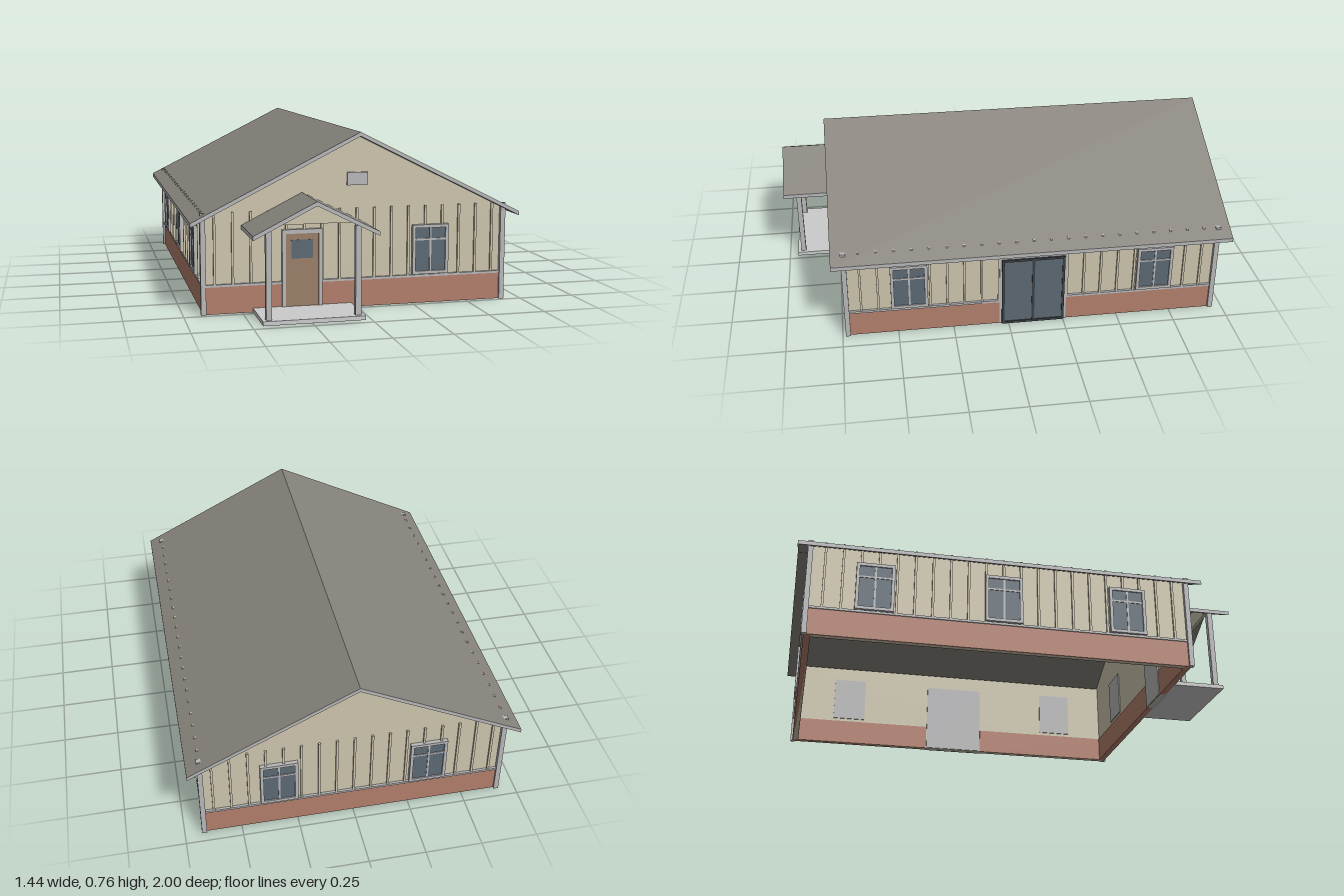
import * as THREE from 'three';

const mat = (color) => new THREE.MeshStandardMaterial({ color, flatShading: true, side: THREE.DoubleSide });

export function createModel() {
  const house = new THREE.Group();
  house.name = 'house';
  const cream = mat(0xcdc5ae), brick = mat(0xb37f6c), trim = mat(0xb8b8ba), roofing = mat(0x88847d);
  const glass = mat(0x5c6973), wood = mat(0x9a8068), dark = mat(0x3c4044), concrete = mat(0xc0c0be);

  // Box given by its minimum and maximum on each axis
  function box(parent, name, material, x0, x1, y0, y1, z0, z1) {
    const m = new THREE.Mesh(new THREE.BoxGeometry(x1 - x0, y1 - y0, z1 - z0), material);
    m.position.set((x0 + x1) / 2, (y0 + y1) / 2, (z0 + z1) / 2);
    m.name = name;
    parent.add(m);
    return m;
  }

  // Outline extruded along z from z0 to z1
  function extrude(parent, name, material, points, z0, z1, hole) {
    const shape = new THREE.Shape(points.map(([x, y]) => new THREE.Vector2(x, y)));
    if (hole) shape.holes.push(new THREE.Path(hole.map(([x, y]) => new THREE.Vector2(x, y))));
    const m = new THREE.Mesh(new THREE.ExtrudeGeometry(shape, { depth: z1 - z0, bevelEnabled: false }), material);
    m.position.z = z0;
    m.name = name;
    parent.add(m);
    return m;
  }

  const rect = (x0, x1, y0, y1) => [[x0, y0], [x1, y0], [x1, y1], [x0, y1]];

  // Rectangular surround with an opening of border width b
  const surround = (parent, name, material, x0, x1, y0, y1, b, z0, z1) =>
    extrude(parent, name, material, rect(x0, x1, y0, y1), z0, z1, rect(x0 + b, x1 - b, y0 + b, y1 - b));

  // Four-pane window on a wall whose outer face is local z = 0
  function addWindow(wall, x) {
    const g = new THREE.Group();
    g.name = 'window';
    g.position.x = x;
    wall.add(g);
    surround(g, 'windowFrame', trim, -0.082, 0.082, 0.13, 0.348, 0.014, -0.01, 0.018);
    box(g, 'windowBacking', trim, -0.08, 0.08, 0.132, 0.346, -0.025, 0.008);
    box(g, 'windowGlass', glass, -0.07, 0.07, 0.142, 0.336, 0, 0.012);
    box(g, 'verticalBar', trim, -0.004, 0.004, 0.142, 0.336, 0.01, 0.015);
    box(g, 'horizontalBar', trim, -0.07, 0.07, 0.279, 0.287, 0.01, 0.015);
  }

  // Wall with brick base, ledge and battens; gap is the doorway [x0, x1]
  function addWall(name, half, x, z, angle, gable, gap) {
    const wall = new THREE.Group();
    wall.name = name;
    wall.position.set(x, 0, z);
    wall.rotation.y = angle;
    house.add(wall);
    const outline = [[-half, 0], [half, 0], [half, 0.413], [-half, 0.413]];
    if (gable) outline.splice(3, 0, [0, 0.743]);
    extrude(wall, 'siding', cream, outline, -0.02, 0);
    const runs = gap ? [[-half, gap[0]], [gap[1], half]] : [[-half, half]];
    for (const [a, b] of runs) {
      box(wall, 'brickBase', brick, a, b, 0, 0.117, -0.023, 0.006);
      box(wall, 'baseLedge', trim, a, b, 0.117, 0.127, -0.001, 0.011);
    }
    const count = Math.floor((half - 0.03) / 0.077);
    for (let i = -count; i <= count; i++) {
      const bx = i * 0.077;
      const low = gap && bx > gap[0] && bx < gap[1] ? 0.345 : 0.122;
      box(wall, 'batten', cream, bx - 0.005, bx + 0.005, low, 0.432, -0.001, 0.0095);
    }
    return wall;
  }

  const front = addWall('frontWall', 0.66, 0, 0.72, 0, true, [-0.33, -0.155]);
  const back = addWall('backWall', 0.66, 0, -0.94, Math.PI, true);
  const left = addWall('leftWall', 0.83, 0.66, -0.11, Math.PI / 2, false, [-0.145, 0.145]);
  const right = addWall('rightWall', 0.83, -0.66, -0.11, -Math.PI / 2, false);
  addWindow(front, 0.33);
  for (const s of [-1, 1]) {
    addWindow(back, s * 0.33);
    addWindow(left, s * 0.555);
    addWindow(right, s * 0.555);
  }
  addWindow(right, 0);

  // Corner posts
  for (const x of [-0.665, 0.665]) {
    for (const z of [-0.945, 0.725]) {
      box(house, 'cornerPost', trim, x - 0.011, x + 0.011, 0, 0.432, z - 0.011, z + 0.011);
    }
  }

  // Front door with a small glazed panel
  extrude(front, 'doorFrame', trim, rect(-0.33, -0.155, 0, 0.35), -0.01, 0.018, rect(-0.314, -0.171, 0.005, 0.332));
  box(front, 'doorBacking', trim, -0.33, -0.155, 0.002, 0.348, -0.026, 0.008);
  box(front, 'doorPanel', wood, -0.314, -0.171, 0.01, 0.332, 0, 0.013);
  box(front, 'doorGlass', glass, -0.29, -0.195, 0.225, 0.305, 0.005, 0.0145);

  // Gable vent
  box(front, 'gableVent', trim, -0.045, 0.045, 0.53, 0.585, 0, 0.012);

  // Double glass doors on the left side
  surround(left, 'glassDoorTrim', trim, -0.152, 0.152, 0.001, 0.348, 0.012, -0.005, 0.011);
  surround(left, 'glassDoorFrame', dark, -0.142, 0.142, 0.002, 0.342, 0.011, -0.01, 0.018);
  box(left, 'glassDoorBacking', trim, -0.142, 0.142, 0.002, 0.34, -0.026, 0.006);
  box(left, 'glassDoorPanes', glass, -0.135, 0.135, 0.008, 0.336, 0, 0.013);
  box(left, 'glassDoorStile', dark, -0.006, 0.006, 0.008, 0.336, 0.01, 0.017);

  // Gabled roof: chevron slab with pale ends and eave strips
  function addRoof(name, cx, peak, half, t, z0, z1) {
    const g = new THREE.Group();
    g.name = name;
    g.position.x = cx;
    house.add(g);
    const drop = half * 0.5;
    extrude(g, 'roofSlab', [trim, roofing], [
      [-half, peak - drop - t], [0, peak - t], [half, peak - drop - t],
      [half, peak - drop], [0, peak], [-half, peak - drop],
    ], z0, z1);
    for (const s of [-1, 1]) {
      box(g, 'eaveStrip', trim, s * half - 0.001, s * half + 0.001, peak - drop - t, peak - drop, z0, z1);
    }
  }
  addRoof('mainRoof', 0, 0.76, 0.721, 0.018, -1, 0.78);
  addRoof('porchRoof', -0.24, 0.505, 0.26, 0.018, 0.64, 1);

  // Porch slab, posts and gable panel
  box(house, 'porchSlab', concrete, -0.455, -0.025, 0, 0.018, 0.72, 0.96);
  for (const s of [-1, 1]) {
    const x = -0.24 + s * 0.187;
    box(house, 'porchPost', trim, x - 0.012, x + 0.012, 0.018, 0.392, 0.92, 0.944);
  }
  extrude(house, 'porchGable', cream, [[-0.404, 0.406], [-0.076, 0.406], [-0.24, 0.488]], 0.925, 0.94);

  return house;
}
